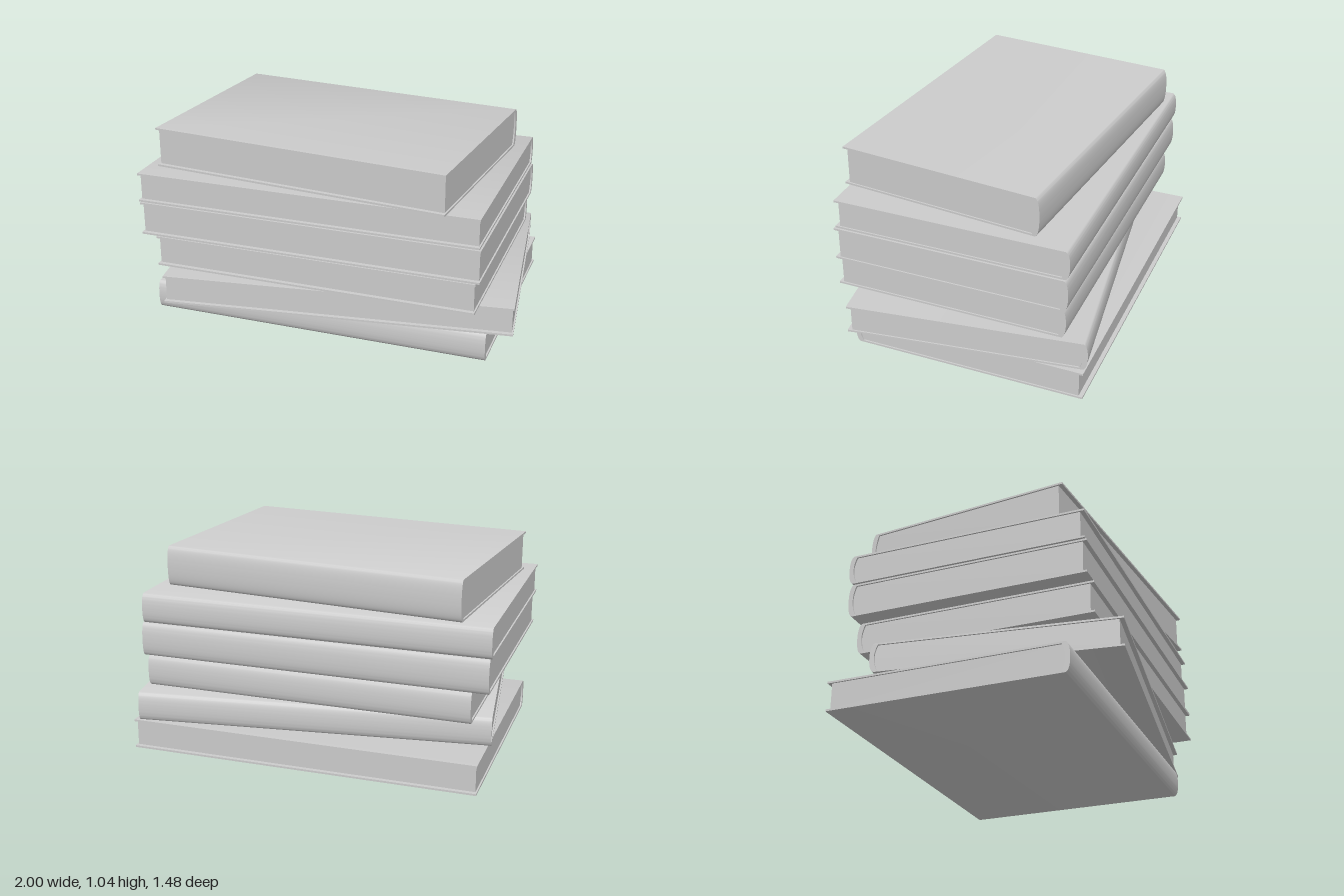
import * as THREE from 'three';
import { toCreasedNormals } from 'three/addons/utils/BufferGeometryUtils.js';

const material = new THREE.MeshStandardMaterial({ color: 0xcccccc });
const BOARD = 0.01;   // cover thickness
const BULGE = 0.024;  // how far the rounded spine swells
const LIP = 0.022;    // cover overhang at the fore edge
const END = 0.008;    // cover overhang at head and tail

// Extrudes a cross-section (u towards the spine, v up) along x, spine at -z
function extrudeAlongX(shape, length) {
  const geo = new THREE.ExtrudeGeometry(shape, { depth: length, bevelEnabled: false, curveSegments: 14 });
  geo.translate(0, 0, -length / 2);
  geo.rotateY(Math.PI / 2);
  return toCreasedNormals(geo, 0.5);
}

function createBook({ length, depth, height }) {
  const book = new THREE.Group();
  const fore = -depth / 2;
  const hinge = depth / 2 - BULGE;
  const inner = hinge - 0.016;
  const top = height - BOARD;
  const mid = height / 2;

  // C-shaped cover: two boards joined by a rounded spine
  const cover = new THREE.Shape();
  cover.moveTo(fore, 0);
  cover.lineTo(hinge, 0);
  cover.bezierCurveTo(hinge + BULGE * 0.9, 0.006, hinge + BULGE, mid * 0.7, hinge + BULGE, mid);
  cover.bezierCurveTo(hinge + BULGE, height - mid * 0.7, hinge + BULGE * 0.9, height - 0.006, hinge, height);
  cover.lineTo(fore, height);
  cover.lineTo(fore, top);
  cover.lineTo(inner, top);
  cover.quadraticCurveTo(inner + BULGE * 1.4, mid, inner, BOARD);
  cover.lineTo(fore, BOARD);
  cover.closePath();
  const coverMesh = new THREE.Mesh(extrudeAlongX(cover, length), material);
  coverMesh.name = 'cover';

  // Page block, set back from the cover edges
  const pages = new THREE.Shape();
  pages.moveTo(fore + LIP, BOARD);
  pages.lineTo(inner, BOARD);
  pages.quadraticCurveTo(inner + BULGE * 1.4, mid, inner, top);
  pages.lineTo(fore + LIP, top);
  pages.closePath();
  const pageMesh = new THREE.Mesh(extrudeAlongX(pages, length - END * 2), material);
  pageMesh.name = 'pages';

  book.add(coverMesh, pageMesh);
  return book;
}

export function createModel() {
  const stack = new THREE.Group();
  stack.name = 'bookStack';

  // Books from bottom to top; the lowest has its spine to the front
  const books = [
    { length: 1.835, depth: 1.26, bottom: 0, height: 0.157, x: -0.052, z: -0.105, turn: Math.PI },
    { length: 1.836, depth: 1.25, bottom: 0.159, height: 0.154, x: 0.005, z: -0.003, turn: 0.134 },
    { length: 1.73, depth: 1.25, bottom: 0.315, height: 0.166, x: -0.04, z: 0, turn: 0 },
    { length: 1.835, depth: 1.26, bottom: 0.483, height: 0.179, x: -0.073, z: -0.009, turn: 0 },
    { length: 1.835, depth: 1.255, bottom: 0.664, height: 0.158, x: -0.082, z: -0.014, turn: 0 },
    { length: 1.617, depth: 1.105, bottom: 0.824, height: 0.212, x: -0.0875, z: 0.0125, turn: -0.096 },
  ];
  books.forEach((spec, i) => {
    const book = createBook(spec);
    book.name = `book${i + 1}`;
    book.position.set(spec.x, spec.bottom, spec.z);
    book.rotation.y = spec.turn;
    stack.add(book);
  });
  return stack;
}
